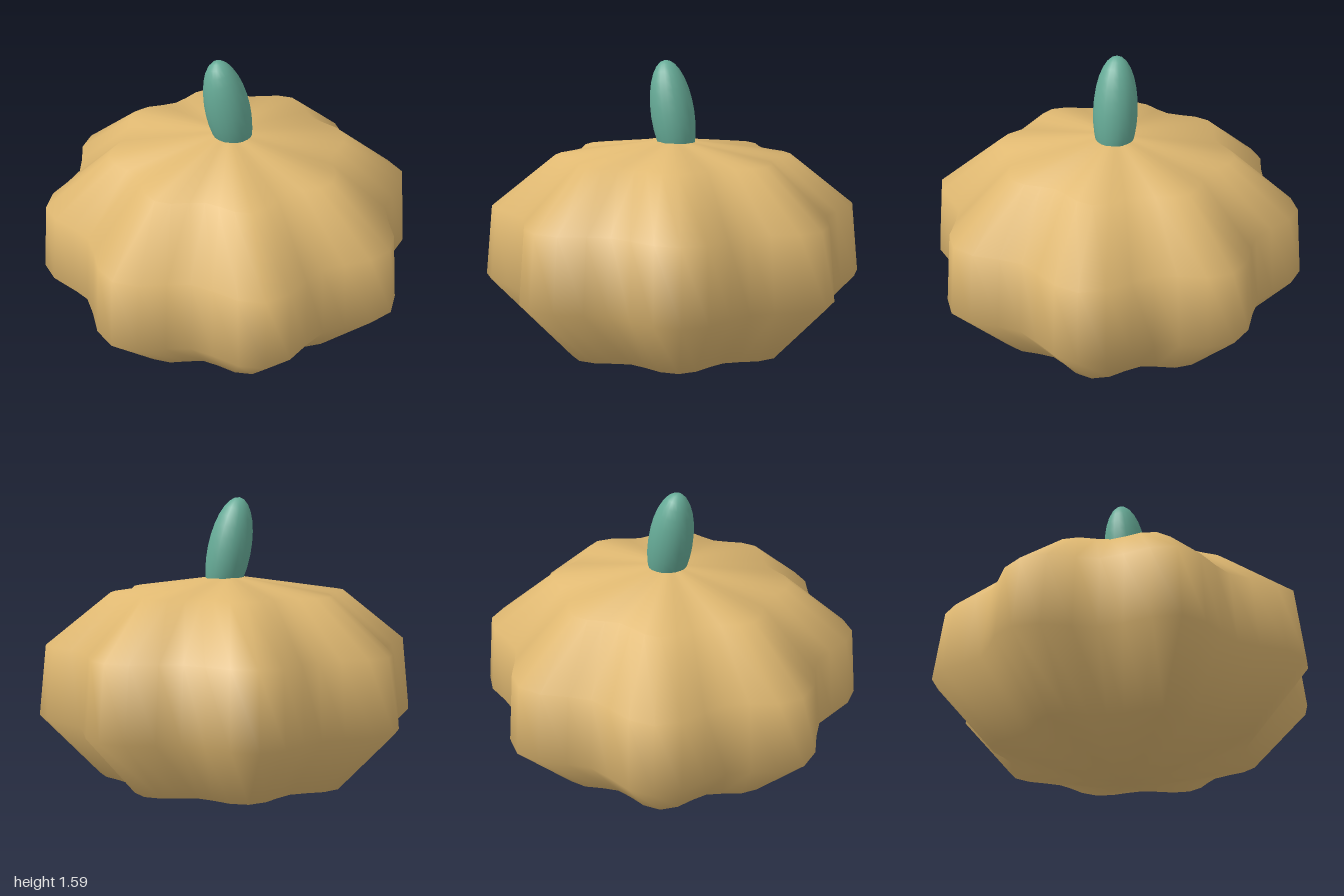
import * as THREE from 'three';
import { mergeVertices } from 'three/addons/utils/BufferGeometryUtils.js';

// Scalloped body: a lathe whose radius swells into eight ribs
function ribbedBody() {
  const profile = [
    [0, 0], [0.16, 0.005], [0.69, 0.135], [1, 0.46],
    [0.96, 0.83], [0.62, 1.1], [0.07, 1.177], [0, 1.18],
  ].map(([r, y]) => new THREE.Vector2(r, y));
  const lathe = new THREE.LatheGeometry(profile, 48);
  lathe.deleteAttribute('uv');
  lathe.deleteAttribute('normal');
  const pos = lathe.attributes.position;
  for (let i = 0; i < pos.count; i++) {
    const x = pos.getX(i), z = pos.getZ(i);
    const k = 0.932 + 0.068 * Math.cos(8 * Math.atan2(z, x));
    pos.setX(i, x * k);
    pos.setZ(i, z * k);
  }
  // Weld the seam so the shading runs smoothly all round
  const geometry = mergeVertices(lathe, 1e-4);
  geometry.computeVertexNormals();
  return geometry;
}

export function createModel() {
  const group = new THREE.Group();
  const skin = new THREE.MeshStandardMaterial({ color: 0xdfb871 });
  skin.name = 'squash skin';
  const green = new THREE.MeshStandardMaterial({ color: 0x66ab97 });
  green.name = 'stem green';

  const body = new THREE.Mesh(ribbedBody(), skin);
  body.name = 'body';

  // Leaning egg-shaped stem, sunk into the crown
  const stem = new THREE.Mesh(new THREE.SphereGeometry(1, 20, 14), green);
  stem.name = 'stem';
  stem.scale.set(0.115, 0.285, 0.115);
  stem.position.set(-0.003, 1.31, 0);
  stem.rotation.z = 0.2;

  group.add(body, stem);
  return group;
}
